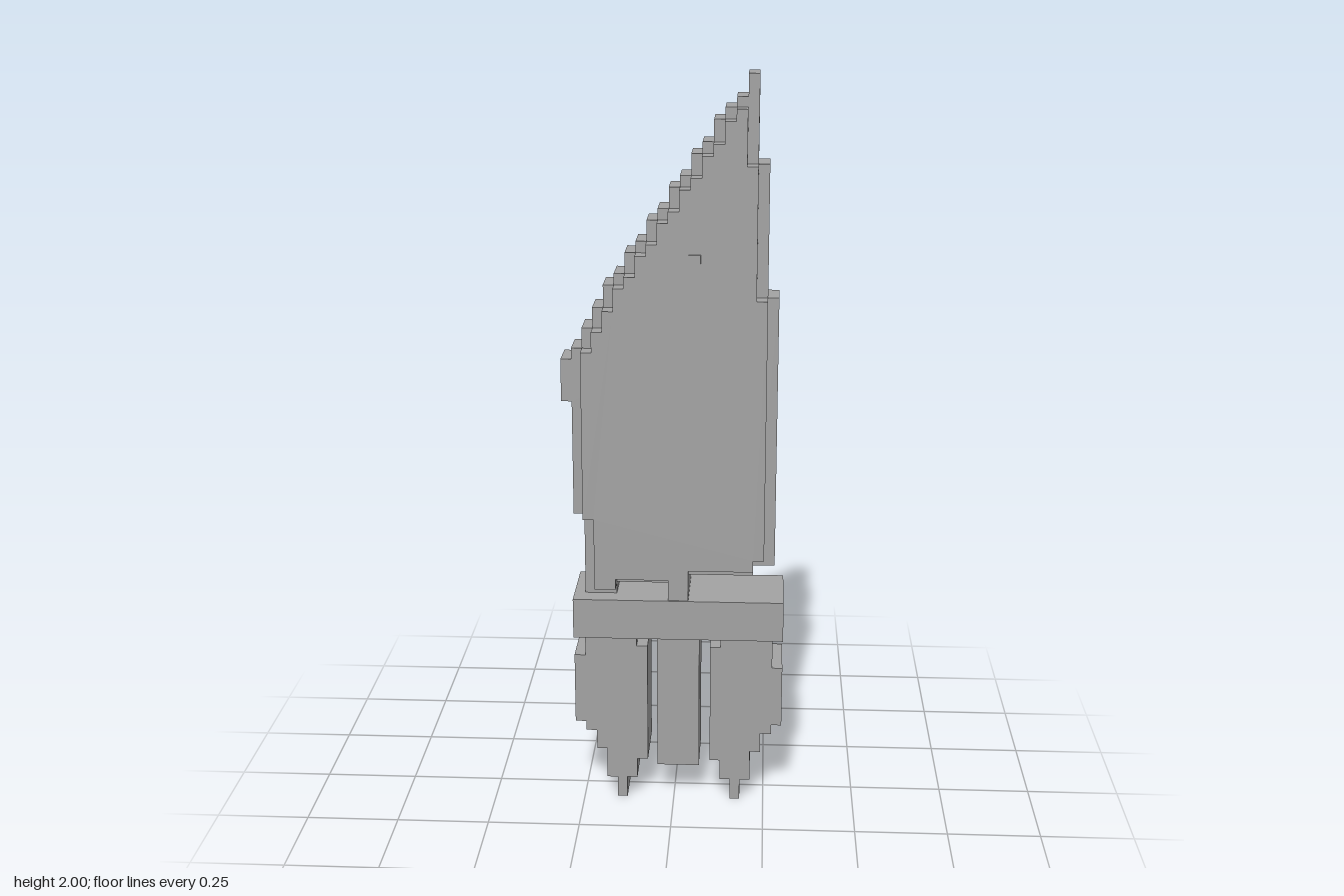
import * as THREE from 'three';

const U = 0.0286; // width of one stair step
const X0 = -0.30;
// height of each stair column along the slanted edge
const TOPS = [1.26, 1.29, 1.345, 1.40, 1.46, 1.49, 1.545, 1.575, 1.63, 1.66,
  1.715, 1.745, 1.80, 1.83, 1.887, 1.917, 1.943, 2.0];

// Extrude an outline evenly to both sides of z = 0
function slab(name, points, halfDepth, material) {
  const shape = new THREE.Shape(points.map(([x, y]) => new THREE.Vector2(x, y)));
  const geometry = new THREE.ExtrudeGeometry(shape, { depth: halfDepth * 2, bevelEnabled: false });
  geometry.translate(0, 0, -halfDepth);
  const mesh = new THREE.Mesh(geometry, material);
  mesh.name = name;
  return mesh;
}

function box(name, x0, x1, y0, y1, z0, z1, material) {
  const mesh = new THREE.Mesh(new THREE.BoxGeometry(x1 - x0, y1 - y0, z1 - z0), material);
  mesh.position.set((x0 + x1) / 2, (y0 + y1) / 2, (z0 + z1) / 2);
  mesh.name = name;
  return mesh;
}

// Staircase outline; shift moves the steps inward
function stairs(first, last, shift) {
  const points = [];
  for (let i = first; i <= last; i++) {
    const y = TOPS[i - shift];
    points.push([X0 + i * U, y], [X0 + (i + 1) * U, y]);
  }
  return points;
}

export function createModel() {
  const group = new THREE.Group();
  const grey = new THREE.MeshStandardMaterial({ color: 0xa3a3a3 });
  grey.name = 'stone grey';

  // Thin middle layer forming the cutting edge, spine and tip
  group.add(slab('bladeEdge', [
    [-0.157, 0.60], [-0.243, 0.60], [-0.243, 0.83], [-0.272, 0.83], [-0.272, 1.145], [-0.30, 1.145],
    ...stairs(0, 17, 0),
    [0.214, 1.775], [0.243, 1.775], [0.243, 1.43], [0.272, 1.43], [0.272, 0.69],
    [0.214, 0.69], [0.214, 0.66], [0.04, 0.66], [0.04, 0.635], [-0.157, 0.635],
  ], 0.05, grey));

  // Thick blade body, one step inside the edge
  group.add(slab('bladeBody', [
    [-0.157, 0.63], [-0.214, 0.63], [-0.214, 0.83], [-0.243, 0.83],
    ...stairs(2, 16, 1),
    [0.186, 1.775], [0.214, 1.775], [0.214, 1.43], [0.243, 1.43], [0.243, 0.72],
    [0.214, 0.72], [0.214, 0.688], [0.04, 0.688], [0.04, 0.66], [-0.157, 0.66],
  ], 0.099, grey));

  // Slightly raised panels on both faces
  for (const s of [-1, 1]) {
    const z = s * 0.1;
    group.add(box('bladePanel', 0.015, 0.07, 1.43, 1.55, z - 0.002, z + 0.002, grey));
  }

  // Neck joining blade and guard
  group.add(box('neck', -0.014, 0.04, 0.58, 0.68, -0.098, 0.098, grey));

  // Guard
  group.add(box('guard', -0.273, 0.298, 0.49, 0.602, -0.103, 0.103, grey));

  // Central grip
  group.add(box('grip', -0.046, 0.07, 0.10, 0.50, -0.08, 0.08, grey));

  // Stepped prongs either side of the grip
  group.add(slab('rightProng', [
    [-0.243, 0.50], [-0.243, 0.43], [-0.273, 0.43], [-0.273, 0.23], [-0.243, 0.23], [-0.243, 0.203],
    [-0.214, 0.203], [-0.214, 0.147], [-0.186, 0.147], [-0.186, 0.06], [-0.157, 0.06], [-0.157, 0],
    [-0.13, 0], [-0.13, 0.06], [-0.102, 0.06], [-0.102, 0.118], [-0.072, 0.118], [-0.072, 0.46],
    [-0.102, 0.46], [-0.102, 0.50],
  ], 0.083, grey));
  group.add(slab('leftProng', [
    [0.128, 0.50], [0.128, 0.46], [0.1, 0.46], [0.1, 0.118], [0.128, 0.118], [0.128, 0.06],
    [0.157, 0.06], [0.157, 0], [0.184, 0], [0.184, 0.06], [0.212, 0.06], [0.212, 0.147],
    [0.24, 0.147], [0.24, 0.203], [0.27, 0.203], [0.27, 0.23], [0.298, 0.23], [0.298, 0.402],
    [0.27, 0.402], [0.27, 0.50],
  ], 0.083, grey));

  return group;
}
